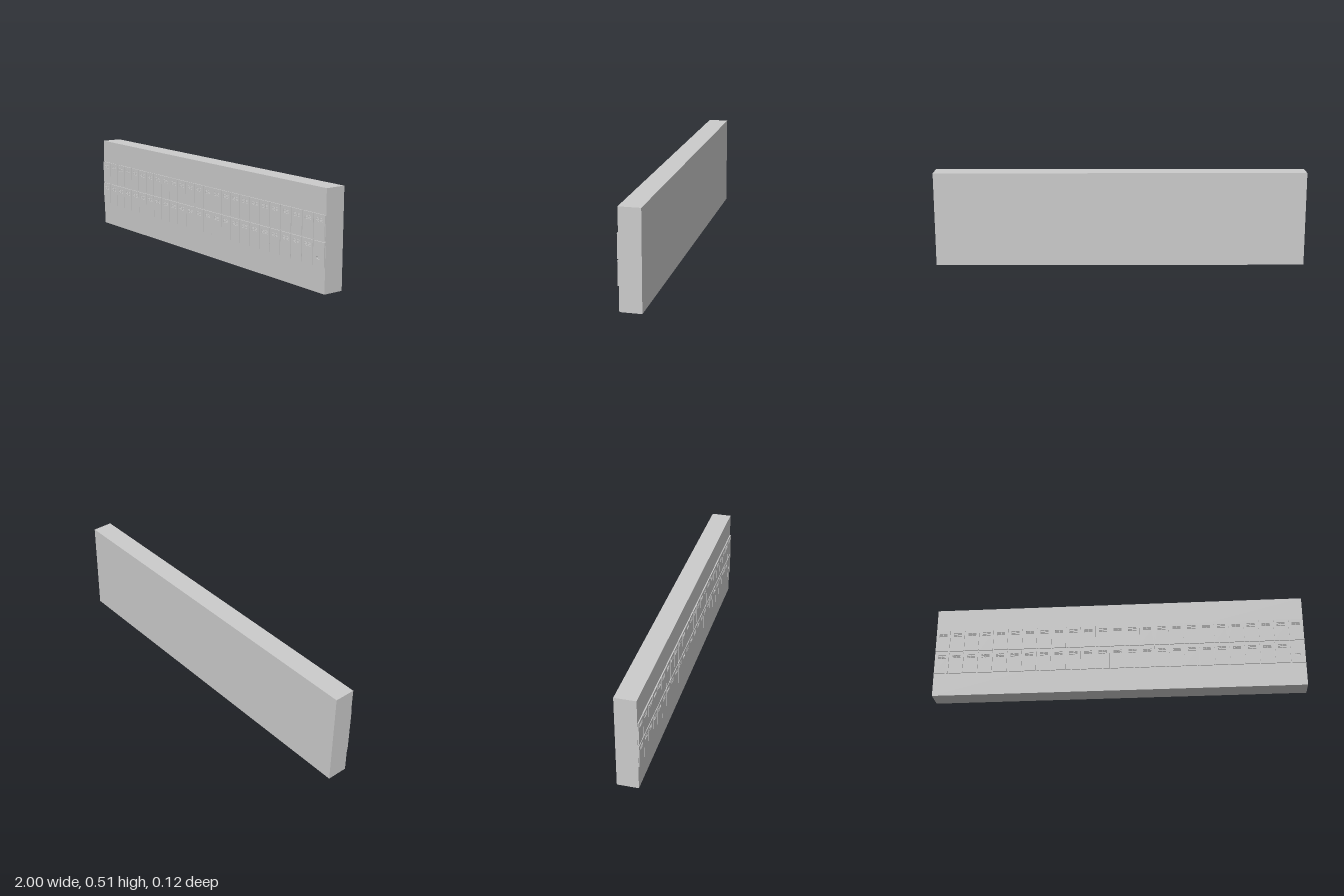
import * as THREE from 'three';

const COUNT = 25, PITCH = 0.08;
const DOOR_W = 0.076, DOOR_H = 0.123, DOOR_T = 0.006, FRONT = 0.053;

// Adds a closed outline as a hole in the shape
function cutRect(shape, x, y, w, h) {
  const hole = new THREE.Path();
  hole.moveTo(x - w / 2, y - h / 2);
  hole.lineTo(x - w / 2, y + h / 2);
  hole.lineTo(x + w / 2, y + h / 2);
  hole.lineTo(x + w / 2, y - h / 2);
  hole.closePath();
  shape.holes.push(hole);
}

function panelShape() {
  const s = new THREE.Shape();
  s.moveTo(-DOOR_W / 2, 0);
  s.lineTo(DOOR_W / 2, 0);
  s.lineTo(DOOR_W / 2, DOOR_H);
  s.lineTo(-DOOR_W / 2, DOOR_H);
  s.closePath();
  return s;
}

const extrude = (shape) =>
  new THREE.ExtrudeGeometry(shape, { depth: DOOR_T, bevelEnabled: false, curveSegments: 8 });

// Door with two columns of three vent slots
function ventedDoor() {
  const s = panelShape();
  for (const x of [-0.0115, 0.0115])
    for (let r = 0; r < 3; r++) cutRect(s, x, 0.089 + r * 0.0075, 0.021, 0.004);
  return extrude(s);
}

// Door with a single rounded latch opening
function latchDoor() {
  const s = panelShape();
  const hole = new THREE.Path();
  hole.absarc(0.006, 0.044, 0.008, Math.PI / 2, -Math.PI / 2, true);
  hole.absarc(-0.006, 0.044, 0.008, -Math.PI / 2, -Math.PI * 1.5, true);
  hole.closePath();
  s.holes.push(hole);
  return extrude(s);
}

export function createModel() {
  const group = new THREE.Group();
  const material = new THREE.MeshStandardMaterial({ color: 0xcccccc });
  const add = (name, geometry, x, y, z) => {
    const mesh = new THREE.Mesh(geometry, material);
    mesh.name = name;
    mesh.position.set(x, y, z);
    group.add(mesh);
  };

  // Solid cabinet body
  add('cabinetBody', new THREE.BoxGeometry(2, 0.51, 0.111), 0, 0.255, -0.0025);

  // Two rows of locker doors; the lower left-hand end one carries the latch
  const vented = ventedDoor(), latched = latchDoor();
  for (let i = 0; i < COUNT; i++) {
    const x = (i - (COUNT - 1) / 2) * PITCH;
    add('upperDoor', vented, x, 0.259, FRONT);
    if (i < COUNT - 1) add('lowerDoor', vented, x, 0.128, FRONT);
    else add('latchDoor', latched, x, 0.128, FRONT);
  }
  return group;
}
